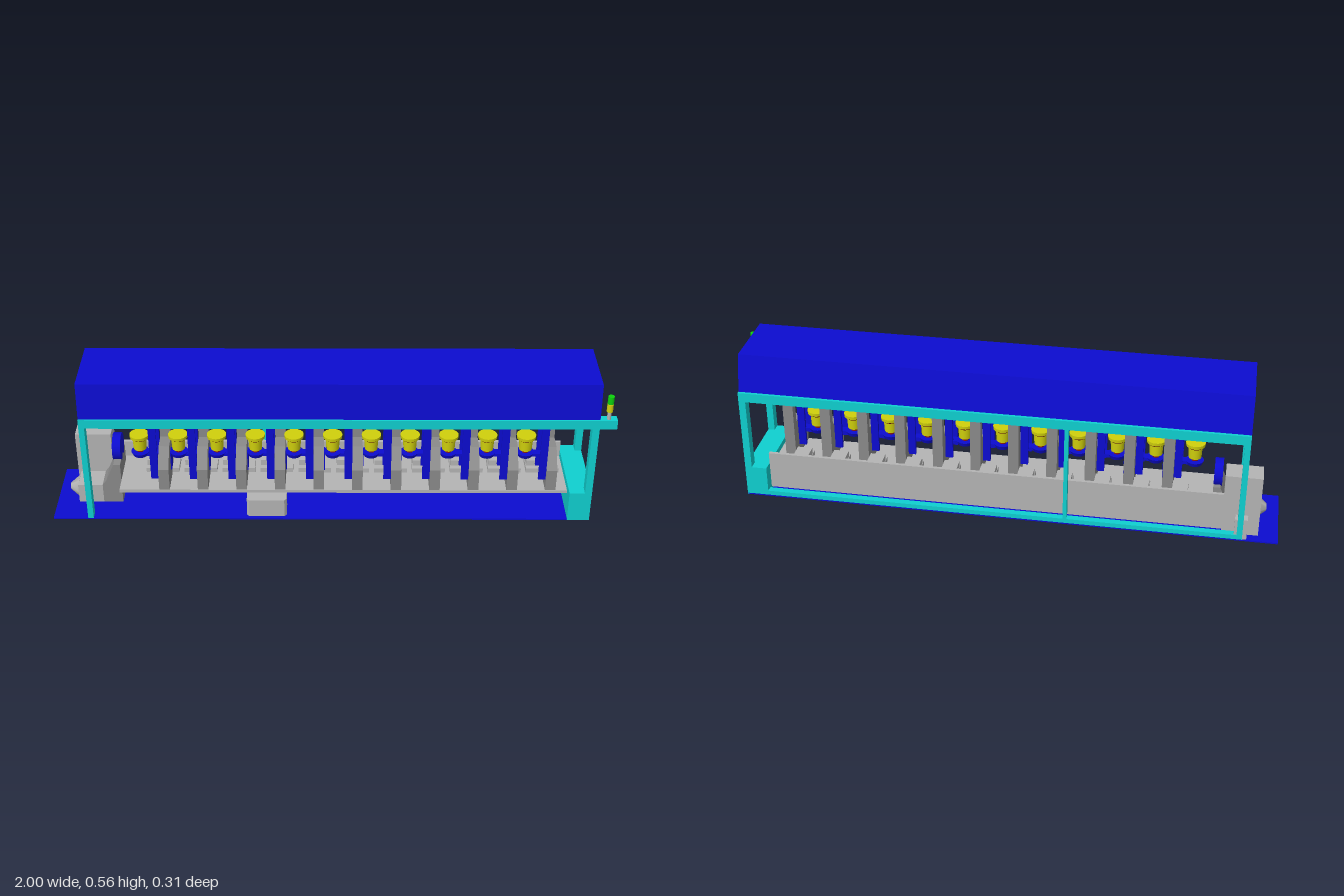
import * as THREE from 'three';

const mat = (name, color) => {
  const m = new THREE.MeshStandardMaterial({ color });
  m.name = name;
  return m;
};

export function createModel() {
  const root = new THREE.Group();
  root.name = 'machineLine';
  const cyan = mat('cyan', 0x0fd0d0), blue = mat('blue', 0x0c0cd0);
  const grey = mat('darkGrey', 0x8a8a8a), pale = mat('lightGrey', 0xb4b4b4);
  const yellow = mat('yellow', 0xd0d00c), green = mat('green', 0x0cd00c), red = mat('darkRed', 0x8a1a10);

  const add = (name, geo, m, parent = root) => {
    const mesh = new THREE.Mesh(geo, m);
    mesh.name = name;
    parent.add(mesh);
    return mesh;
  };
  // box given by its limits on each axis
  const box = (name, m, x0, x1, y0, y1, z0, z1, parent) => {
    const g = new THREE.BoxGeometry(x1 - x0, y1 - y0, z1 - z0);
    g.translate((x0 + x1) / 2, (y0 + y1) / 2, (z0 + z1) / 2);
    return add(name, g, m, parent);
  };
  // upright round part
  const post = (name, m, rTop, rBottom, y0, y1, x, z, parent) => {
    const g = new THREE.CylinderGeometry(rTop, rBottom, y1 - y0, 24);
    g.translate(x, (y0 + y1) / 2, z);
    return add(name, g, m, parent);
  };
  // (z, y) outline extruded along x
  const profile = (name, m, pts, x0, x1, parent) => {
    const s = new THREE.Shape(pts.map(([z, y]) => new THREE.Vector2(-z, y)));
    const g = new THREE.ExtrudeGeometry(s, { depth: x1 - x0, bevelEnabled: false });
    g.rotateY(Math.PI / 2);
    g.translate(x0, 0, 0);
    return add(name, g, m, parent);
  };

  // floor plate
  box('floorPlate', blue, -1, 0.935, 0, 0.005, -0.155, 0.155);

  // outer frame
  const frame = new THREE.Group();
  frame.name = 'frame';
  root.add(frame);
  box('endPanel', cyan, 0.855, 0.935, 0, 0.118, -0.155, 0.155, frame);
  for (const s of [-1, 1]) {
    const z0 = s > 0 ? 0.12 : -0.155, z1 = z0 + 0.035;
    box('rightPost', cyan, 0.91, 0.935, 0.118, 0.39, z0, z1, frame);
    box('leftPost', cyan, -0.875, -0.855, 0.005, 0.39, z0, z1, frame);
    box('topRail', cyan, -0.875, s > 0 ? 0.995 : 0.935, 0.39, 0.425, z0, z1, frame);
  }
  box('backMiddlePost', cyan, -0.252, -0.238, 0.02, 0.39, -0.155, -0.13, frame);
  box('backBottomRail', cyan, -0.855, 0.855, 0.005, 0.022, -0.155, -0.13, frame);
  for (const x of [-0.865, 0.922]) {
    const g = new THREE.CylinderGeometry(0.01, 0.01, 0.24, 20);
    g.rotateX(Math.PI / 2);
    g.translate(x, 0.392, 0);
    add('crossRod', g, pale, frame);
  }

  // bent sheet hood, open at both ends
  profile('hood', blue, [
    [0.149, 0.422], [0.136, 0.559], [-0.112, 0.559], [-0.146, 0.417],
    [-0.134, 0.417], [-0.104, 0.543], [0.129, 0.543], [0.141, 0.422],
  ], -0.875, 0.935);

  // signal light on the rail overhang
  post('lightStem', pale, 0.007, 0.007, 0.425, 0.456, 0.965, 0.14);
  post('yellowLamp', yellow, 0.011, 0.011, 0.456, 0.486, 0.965, 0.14);
  post('greenLamp', green, 0.011, 0.011, 0.488, 0.517, 0.965, 0.14);

  // bed: rear body and the shelf carrying the stations
  box('rearBody', pale, -0.83, 0.853, 0.02, 0.1, -0.12, -0.075);
  box('rearWall', pale, -0.83, 0.853, 0.1, 0.163, -0.12, -0.108);
  box('shelf', pale, -0.76, 0.853, 0.088, 0.1, -0.108, 0.112);

  // control box with chamfered front edges
  const cs = new THREE.Shape([[-0.3, -0.085], [-0.3, -0.147], [-0.292, -0.155], [-0.165, -0.155], [-0.157, -0.147], [-0.157, -0.085]]
    .map(([x, y]) => new THREE.Vector2(x, y)));
  const cg = new THREE.ExtrudeGeometry(cs, { depth: 0.07, bevelEnabled: false });
  cg.rotateX(-Math.PI / 2);
  cg.translate(0, 0.015, 0);
  cg.scale(1, 1, 1);
  add('controlBox', cg, pale);

  // one station: frame plate, blue guides and spool
  const station = (x) => {
    const g = new THREE.Group();
    g.name = 'station';
    g.position.x = x;
    root.add(g);
    profile('stationBody', grey, [
      [0.11, 0.1], [0.11, 0.185], [0.047, 0.245], [-0.015, 0.245], [-0.015, 0.35],
      [-0.03, 0.366], [-0.046, 0.366], [-0.046, 0.1],
    ], 0.027, 0.065, g);
    box('foot', pale, -0.03, 0.09, 0.1, 0.118, -0.075, 0.0, g);
    box('footBlock', pale, -0.028, 0.027, 0.118, 0.14, -0.075, -0.02, g);
    box('frontGuide', blue, 0, 0.027, 0.14, 0.366, 0.092, 0.1, g);
    box('rearGuide', blue, 0, 0.027, 0.14, 0.366, 0, 0.012, g);
    box('guideCap', grey, 0, 0.027, 0.36, 0.366, 0.012, 0.092, g);
    profile('sidePlate', blue, [
      [0.036, 0.135], [0.036, 0.211], [0, 0.211], [-0.015, 0.197], [-0.015, 0.149], [0, 0.135],
    ], 0.065, 0.068, g);
    const sx = -0.043, sz = 0.022;
    post('spoolHolder', blue, 0.033, 0.026, 0.194, 0.21, sx, sz, g);
    box('holderArm', blue, sx, 0.027, 0.196, 0.208, sz - 0.015, sz + 0.015, g);
    post('spoolStem', red, 0.012, 0.012, 0.21, 0.222, sx, sz, g);
    post('spoolBody', yellow, 0.025, 0.023, 0.222, 0.263, sx, sz, g);
    post('spoolCollar', red, 0.033, 0.026, 0.263, 0.27, sx, sz, g);
    post('spoolFlange', yellow, 0.035, 0.034, 0.27, 0.282, sx, sz, g);
  };
  for (let i = 0; i < 11; i++) station(-0.6435 + i * 0.139);

  // drive unit at the left end
  const drive = new THREE.Group();
  drive.name = 'driveUnit';
  root.add(drive);
  box('driveCabinet', pale, -0.93, -0.8, 0.005, 0.24, -0.12, -0.035, drive);
  box('cabinetSideBox', pale, -0.89, -0.845, 0.005, 0.085, -0.152, -0.12, drive);
  box('frontDriveBox', pale, -0.92, -0.83, 0.005, 0.08, -0.035, 0.055, drive);
  const nose = new THREE.CylinderGeometry(0.012, 0.042, 0.035, 6);
  nose.rotateZ(Math.PI / 2);
  nose.translate(-0.937, 0.045, 0.01);
  add('driveNose', nose, pale, drive);
  const slope = new THREE.Shape([[-0.83, 0.005], [-0.76, 0.005], [-0.76, 0.168], [-0.785, 0.168], [-0.815, 0.1], [-0.83, 0.08]]
    .map(([x, y]) => new THREE.Vector2(x, y)));
  const sg = new THREE.ExtrudeGeometry(slope, { depth: 0.14, bevelEnabled: false });
  sg.translate(0, 0, -0.085);
  add('driveBracket', sg, grey, drive);
  const wheel = new THREE.CylinderGeometry(0.05, 0.05, 0.03, 32);
  wheel.rotateZ(Math.PI / 2);
  wheel.translate(-0.775, 0.198, -0.025);
  add('driveWheel', wheel, blue, drive);

  return root;
}
